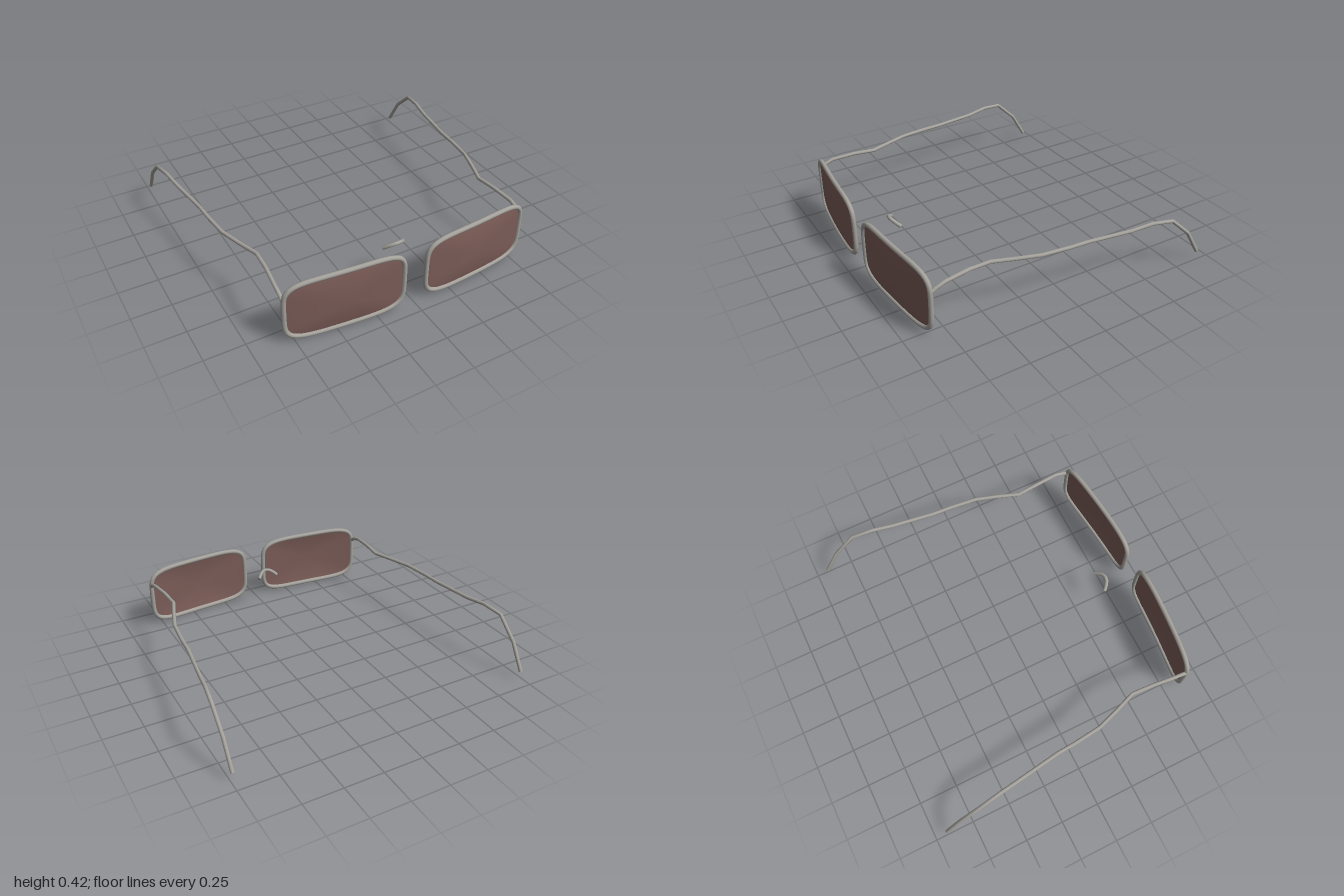
import * as THREE from 'three';

const metal = new THREE.MeshStandardMaterial({ color: 0xa5a29c });
metal.name = 'brushed metal';
const tint = new THREE.MeshStandardMaterial({ color: 0x7c5d58, side: THREE.DoubleSide });
tint.name = 'tinted lens';

// Straight-segment path, so a tube has one ring at each given point
class Polyline extends THREE.Curve {
  constructor(points) {
    super();
    this.points = points;
  }
  getPoint(t, target = new THREE.Vector3()) {
    const n = this.points.length - 1;
    const i = Math.min(Math.floor(t * n), n - 1);
    return target.lerpVectors(this.points[i], this.points[i + 1], t * n - i);
  }
  getPointAt(u, target) { return this.getPoint(u, target); }
  getTangentAt(u, target) { return this.getTangent(u, target); }
}

// Capped wire following a list of points
function wire(name, coords, radius) {
  const group = new THREE.Group();
  group.name = name;
  const points = coords.map(p => new THREE.Vector3(...p));
  const path = new Polyline(points);
  group.add(new THREE.Mesh(new THREE.TubeGeometry(path, points.length - 1, radius, 10), metal));
  for (const u of [0, 1]) {
    const cap = new THREE.Mesh(new THREE.CircleGeometry(radius, 10), metal);
    const outward = path.getTangentAt(u).multiplyScalar(u ? 1 : -1);
    cap.quaternion.setFromUnitVectors(new THREE.Vector3(0, 0, 1), outward);
    cap.position.copy(points[u ? points.length - 1 : 0]);
    group.add(cap);
  }
  group.children.forEach(m => { m.name = name + 'Part'; });
  return group;
}

// Rounded-rectangle rim, swept back toward the temple
function rimPoints(side, count) {
  const points = [];
  const power = v => Math.sign(v) * Math.abs(v) ** 0.4;
  for (let i = 0; i < count; i++) {
    const a = (i / count) * Math.PI * 2;
    const x = 0.44 + 0.365 * power(Math.cos(a));
    const y = 0.21 + 0.195 * power(Math.sin(a));
    const z = 0.91 - 0.066 * ((x - 0.07) / 0.74) ** 1.7;
    points.push(new THREE.Vector3(side * x, y, z));
  }
  return points;
}

// Lens: shallow cone from the rim to a raised centre
function lensGeometry(side) {
  const rim = rimPoints(side, 64);
  const centre = new THREE.Vector3(side * 0.44, 0.21, 0.928);
  const index = [];
  for (let i = 0; i < rim.length; i++) {
    const a = 1 + i, b = 1 + (i + 1) % rim.length;
    index.push(0, ...(side > 0 ? [a, b] : [b, a]));
  }
  const geometry = new THREE.BufferGeometry().setFromPoints([centre, ...rim]);
  geometry.setIndex(index);
  geometry.computeVertexNormals();
  return geometry;
}

export function createModel() {
  const model = new THREE.Group();
  model.name = 'glasses';

  // Temple arm from hinge to ear hook
  const arm = [
    [0.805, 0.30, 0.845], [0.805, 0.325, 0.81], [0.805, 0.346, 0.75], [0.79, 0.356, 0.6],
    [0.78, 0.349, 0.46], [0.83, 0.349, 0.32], [0.875, 0.349, 0.18], [0.895, 0.349, 0],
    [0.902, 0.349, -0.12], [0.942, 0.349, -0.40], [0.963, 0.364, -0.54],
    [0.984, 0.349, -0.68], [0.987, 0.22, -0.82], [0.987, 0.055, -0.92],
  ];

  for (const side of [1, -1]) {
    const label = side > 0 ? 'left' : 'right';

    const curve = new THREE.CatmullRomCurve3(rimPoints(side, 64), true);
    const rim = new THREE.Mesh(new THREE.TubeGeometry(curve, 80, 0.015, 10, true), metal);
    rim.name = label + 'Rim';

    const lens = new THREE.Mesh(lensGeometry(side), tint);
    lens.name = label + 'Lens';

    model.add(rim, lens, wire(label + 'Arm', arm.map(([x, y, z]) => [side * x, y, z]), 0.012));
  }

  // Arched nose bridge, set behind the lenses
  model.add(wire('bridge', [
    [-0.07, 0.257, 0.665], [-0.05, 0.275, 0.685], [-0.025, 0.290, 0.702], [0, 0.294, 0.707],
    [0.025, 0.290, 0.702], [0.05, 0.275, 0.685], [0.07, 0.257, 0.665],
  ], 0.012));

  return model;
}
